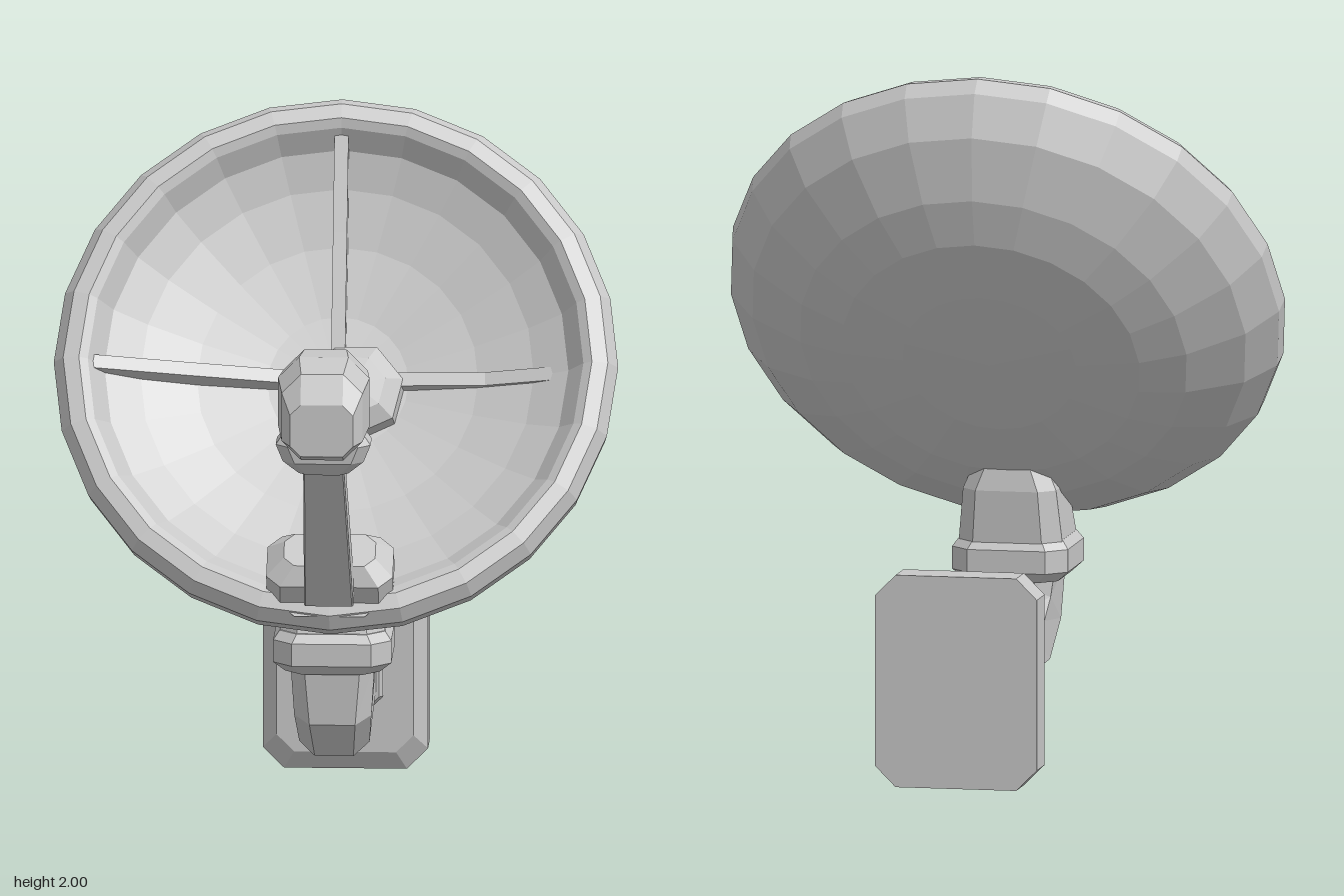
import * as THREE from 'three';

// Eight-sided ring in a plane tilted about x: centre (0, y, z), half sizes w and h, corner cut c.
// Rings must advance along (0, -sin a, cos a).
function ring(y, z, deg, w, h, c) {
  const a = THREE.MathUtils.degToRad(deg), p = w - c, q = h - c;
  return [[w, -q], [w, q], [p, h], [-p, h], [-w, q], [-w, -q], [-p, -h], [p, -h]]
    .map(([u, v]) => [u, y + v * Math.cos(a), z + v * Math.sin(a)]);
}

// Skin a row of rings and close both ends
function loft(rings) {
  const n = rings[0].length, index = [], last = (rings.length - 1) * n;
  for (let k = 0; k < rings.length - 1; k++) {
    for (let i = 0; i < n; i++) {
      const a = k * n + i, b = k * n + (i + 1) % n;
      index.push(a, b, b + n, a, b + n, a + n);
    }
  }
  for (let i = 1; i < n - 1; i++) {
    index.push(0, i + 1, i, last, last + i, last + i + 1);
  }
  const g = new THREE.BufferGeometry();
  g.setAttribute('position', new THREE.Float32BufferAttribute(rings.flat(2), 3));
  g.setIndex(index);
  g.computeVertexNormals();
  return g;
}

const points = (list) => list.map(([x, y]) => new THREE.Vector2(x, y));

export function createModel() {
  const model = new THREE.Group();
  model.name = 'satelliteDish';
  const grey = new THREE.MeshStandardMaterial({ color: 0xc8c8c8, flatShading: true });
  grey.name = 'light grey';

  const add = (name, geometry, parent = model) => {
    const mesh = new THREE.Mesh(geometry, grey);
    mesh.name = name;
    parent.add(mesh);
    return mesh;
  };

  // Wall plate and the collar that holds the bracket
  add('wallPlate', loft([
    ring(0.308, -0.855, 0, 0.235, 0.305, 0.06),
    ring(0.308, -0.745, 0, 0.235, 0.305, 0.06),
    ring(0.308, -0.712, 0, 0.195, 0.25, 0.05),
  ]));
  add('wallCollar', loft([
    ring(0.31, -0.73, 0, 0.11, 0.12, 0.04),
    ring(0.31, -0.67, 0, 0.11, 0.12, 0.04),
    ring(0.31, -0.645, 0, 0.1, 0.105, 0.03),
  ]));

  // Bent bracket: down from the post, then back to the wall
  add('elbowBracket', loft([
    ring(0.51, 0.035, 90, 0.12, 0.118, 0.04),
    ring(0.395, 0.025, 119, 0.11, 0.13, 0.045),
    ring(0.312, -0.05, 146, 0.1, 0.118, 0.045),
    ring(0.305, -0.26, 180, 0.095, 0.096, 0.035),
    ring(0.305, -0.68, 180, 0.09, 0.09, 0.035),
  ]));

  // Post under the reflector with its clamp
  add('postClamp', loft([
    ring(0.605, 0.025, 90, 0.15, 0.15, 0.05),
    ring(0.58, 0.025, 90, 0.168, 0.168, 0.055),
    ring(0.515, 0.025, 90, 0.168, 0.168, 0.055),
    ring(0.485, 0.025, 90, 0.135, 0.14, 0.05),
  ]));
  add('post', loft([
    ring(0.83, -0.05, 90, 0.1, 0.075, 0.04),
    ring(0.75, -0.01, 90, 0.135, 0.13, 0.045),
    ring(0.6, 0.02, 90, 0.15, 0.15, 0.05),
  ]));

  // Reflector: local y is the dish axis, local -z points to its top edge
  const dish = new THREE.Group();
  dish.name = 'reflector';
  dish.position.set(0, 1.35, -0.075);
  dish.rotation.x = THREE.MathUtils.degToRad(57);
  model.add(dish);

  // Rounded back, thick lip, steep inner wall and a shallow bowl
  const profile = points([
    [0, -0.37], [0.25, -0.36], [0.43, -0.338], [0.56, -0.295], [0.715, -0.2], [0.795, -0.1],
    [0.803, -0.045], [0.775, -0.005], [0.73, 0.003], [0.705, -0.012], [0.66, -0.075],
    [0.56, -0.125], [0.4, -0.17], [0.2, -0.2], [0, -0.208],
  ]);
  add('dishShell', new THREE.LatheGeometry(profile, 24), dish);

  // Centre boss
  const boss = points([[0.15, -0.23], [0.14, -0.16], [0.09, -0.125], [0, -0.12]]);
  add('centreBoss', new THREE.LatheGeometry(boss, 7), dish).position.set(0.05, 0, 0.03);

  // Ribs: tall towards the top and the model's right, low on the other two sides
  [['rightRib', Math.PI, -0.09, -0.03], ['topRib', Math.PI / 2, -0.09, -0.03],
    ['leftRib', 0, -0.15, -0.075], ['bottomRib', -Math.PI / 2, -0.15, -0.075],
  ].forEach(([name, turn, middle, end]) => {
    const shape = new THREE.Shape(points([
      [0.05, -0.23], [0.42, -0.19], [0.6, -0.13], [0.7, end - 0.02],
      [0.7, end], [0.42, middle], [0.05, -0.165],
    ]));
    const g = new THREE.ExtrudeGeometry(shape, { depth: 0.04, bevelEnabled: false });
    g.translate(0, 0, -0.02);
    add(name, g, dish).rotation.y = turn;
  });

  // Foot at the lower rim and the feed arm
  add('armFoot', loft([
    ring(0.73, 0.29, -54, 0.13, 0.06, 0.03),
    ring(0.78, 0.25, -54, 0.18, 0.09, 0.04),
    ring(0.84, 0.28, -54, 0.18, 0.095, 0.04),
    ring(0.88, 0.3, -54, 0.13, 0.06, 0.03),
  ]));
  add('feedArm', loft([
    ring(0.76, 0.34, -54, 0.07, 0.045, 0.004),
    ring(1.23, 0.69, -54, 0.058, 0.035, 0.004),
  ]));

  // Feed head: clamp below, receiver body above
  add('feedClamp', loft([
    ring(1.34, 0.7, 90, 0.1, 0.06, 0.025),
    ring(1.29, 0.7, 90, 0.135, 0.08, 0.035),
    ring(1.24, 0.7, 90, 0.115, 0.075, 0.035),
    ring(1.2, 0.69, 90, 0.07, 0.05, 0.025),
  ]));
  add('receiver', loft([
    ring(1.4, 0.455, 0, 0.055, 0.07, 0.03),
    ring(1.4, 0.485, 0, 0.085, 0.095, 0.045),
    ring(1.415, 0.58, 0, 0.12, 0.115, 0.06),
    ring(1.405, 0.7, 0, 0.13, 0.13, 0.06),
    ring(1.385, 0.81, 0, 0.115, 0.125, 0.055),
    ring(1.355, 0.855, 0, 0.09, 0.075, 0.03),
  ]));

  return model;
}
